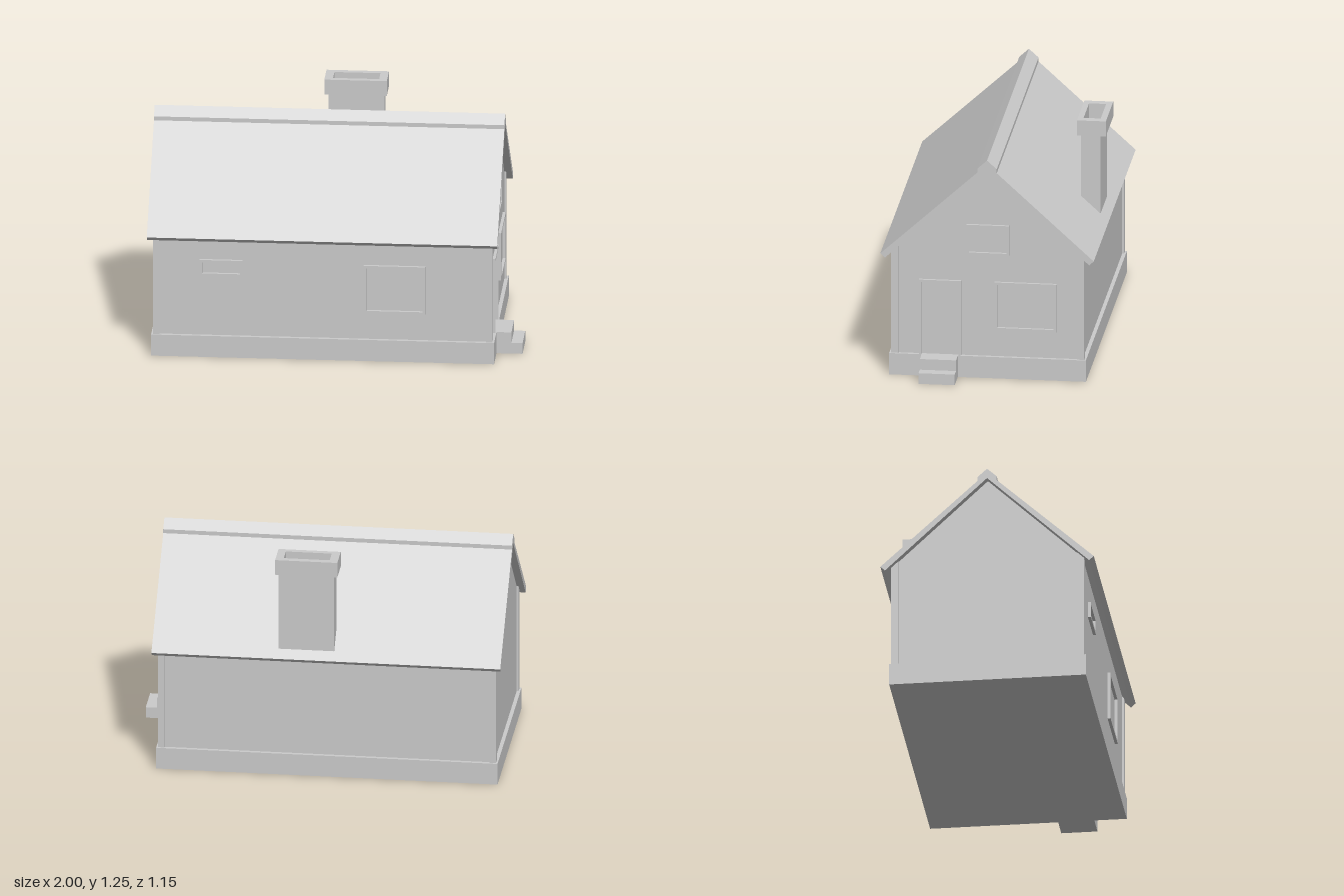
import * as THREE from 'three';

const material = new THREE.MeshStandardMaterial({ color: 0xcccccc });

function add(parent, name, geometry) {
  const mesh = new THREE.Mesh(geometry, material);
  mesh.name = name;
  parent.add(mesh);
  return mesh;
}

// Box given by its limits on each axis
function box(parent, name, [x0, x1], [y0, y1], [z0, z1]) {
  const g = new THREE.BoxGeometry(x1 - x0, y1 - y0, z1 - z0);
  g.translate((x0 + x1) / 2, (y0 + y1) / 2, (z0 + z1) / 2);
  return add(parent, name, g);
}

// Prism along x from a cross-section of [z, y] points
function prism(parent, name, points, x0, x1) {
  const shape = new THREE.Shape(points.map(([z, y]) => new THREE.Vector2(-z, y)));
  const g = new THREE.ExtrudeGeometry(shape, { depth: x1 - x0, bevelEnabled: false });
  g.rotateY(Math.PI / 2).translate(x0, 0, 0);
  return add(parent, name, g);
}

function rectangle(C, a0, a1, b0, b1) {
  return new C([[a0, b0], [a1, b0], [a1, b1], [a0, b1]].map(p => new THREE.Vector2(...p)));
}

// Raised rectangular frame in the xy plane; a door frame is open at the foot
function frame(a0, a1, b0, b1, depth, isDoor) {
  const w = 0.014;
  let shape;
  if (isDoor) {
    shape = new THREE.Shape([[a0, b0], [a0 + w, b0], [a0 + w, b1 - w], [a1 - w, b1 - w],
      [a1 - w, b0], [a1, b0], [a1, b1], [a0, b1]].map(p => new THREE.Vector2(...p)));
  } else {
    shape = rectangle(THREE.Shape, a0, a1, b0, b1);
    shape.holes.push(rectangle(THREE.Path, a0 + w, a1 - w, b0 + w, b1 - w));
  }
  return new THREE.ExtrudeGeometry(shape, { depth, bevelEnabled: false });
}

export function createModel() {
  const house = new THREE.Group();
  house.name = 'house';

  // Plinth and steps to the door
  box(house, 'plinth', [-0.98, 0.86], [0, 0.12], [-0.53, 0.53]);
  prism(house, 'walls', [[0.51, 0.12], [0.51, 0.71], [0, 1.185], [-0.51, 0.71], [-0.51, 0.12]], -0.96, 0.84);
  const steps = new THREE.Group();
  steps.name = 'steps';
  house.add(steps);
  box(steps, 'upperStep', [0.86, 0.94], [0, 0.12], [0.16, 0.355]);
  box(steps, 'lowerStep', [0.94, 1.0], [0, 0.06], [0.16, 0.355]);

  // Corner posts, cut to the roof slope
  for (const s of [1, -1]) {
    const section = [[0.48, 0.12], [0.52, 0.12], [0.52, 0.7], [0.48, 0.737]].map(([z, y]) => [z * s, y]);
    prism(house, 'cornerPost', section, -0.97, -0.935);
    prism(house, 'cornerPost', section, 0.815, 0.85);
  }

  // Roof slopes and ridge cap
  for (const s of [1, -1]) {
    const section = [[0, 1.18], [0.55, 0.665], [0.575, 0.688], [0, 1.213]].map(([z, y]) => [z * s, y]);
    prism(house, 'roofSlope', section, -1, 0.88);
  }
  prism(house, 'ridgeCap', [[0, 1.235], [0.052, 1.188], [0.052, 1.16], [0, 1.2], [-0.052, 1.16], [-0.052, 1.188]], -1, 0.88);

  // Chimney with a hollow cap
  const chimney = new THREE.Group();
  chimney.name = 'chimney';
  house.add(chimney);
  box(chimney, 'chimneyShaft', [-0.1, 0.2], [0.7, 1.172], [-0.53, -0.425]);
  const cap = rectangle(THREE.Shape, -0.12, 0.215, 0.405, 0.56);
  cap.holes.push(rectangle(THREE.Path, -0.075, 0.172, 0.435, 0.527));
  add(chimney, 'chimneyCap', new THREE.ExtrudeGeometry(cap, { depth: 0.085, bevelEnabled: false })
    .rotateX(-Math.PI / 2).translate(0, 1.17, 0));

  // Window frames on the front wall
  add(house, 'frontWindowFrame', frame(0.16, 0.49, 0.27, 0.54, 0.02).translate(0, 0, 0.506));
  add(house, 'smallWindowFrame', frame(-0.72, -0.49, 0.46, 0.55, 0.02).translate(0, 0, 0.506));

  // Door and window frames on the right gable, given by -z limits
  for (const [name, a0, a1, b0, b1, isDoor] of [
    ['doorFrame', -0.37, -0.143, 0.12, 0.54, true],
    ['gableWindowFrame', 0.037, 0.37, 0.27, 0.54, false],
    ['atticWindowFrame', -0.115, 0.115, 0.69, 0.86, false],
  ]) {
    add(house, name, frame(a0, a1, b0, b1, 0.02, isDoor).rotateY(Math.PI / 2).translate(0.836, 0, 0));
  }
  return house;
}
